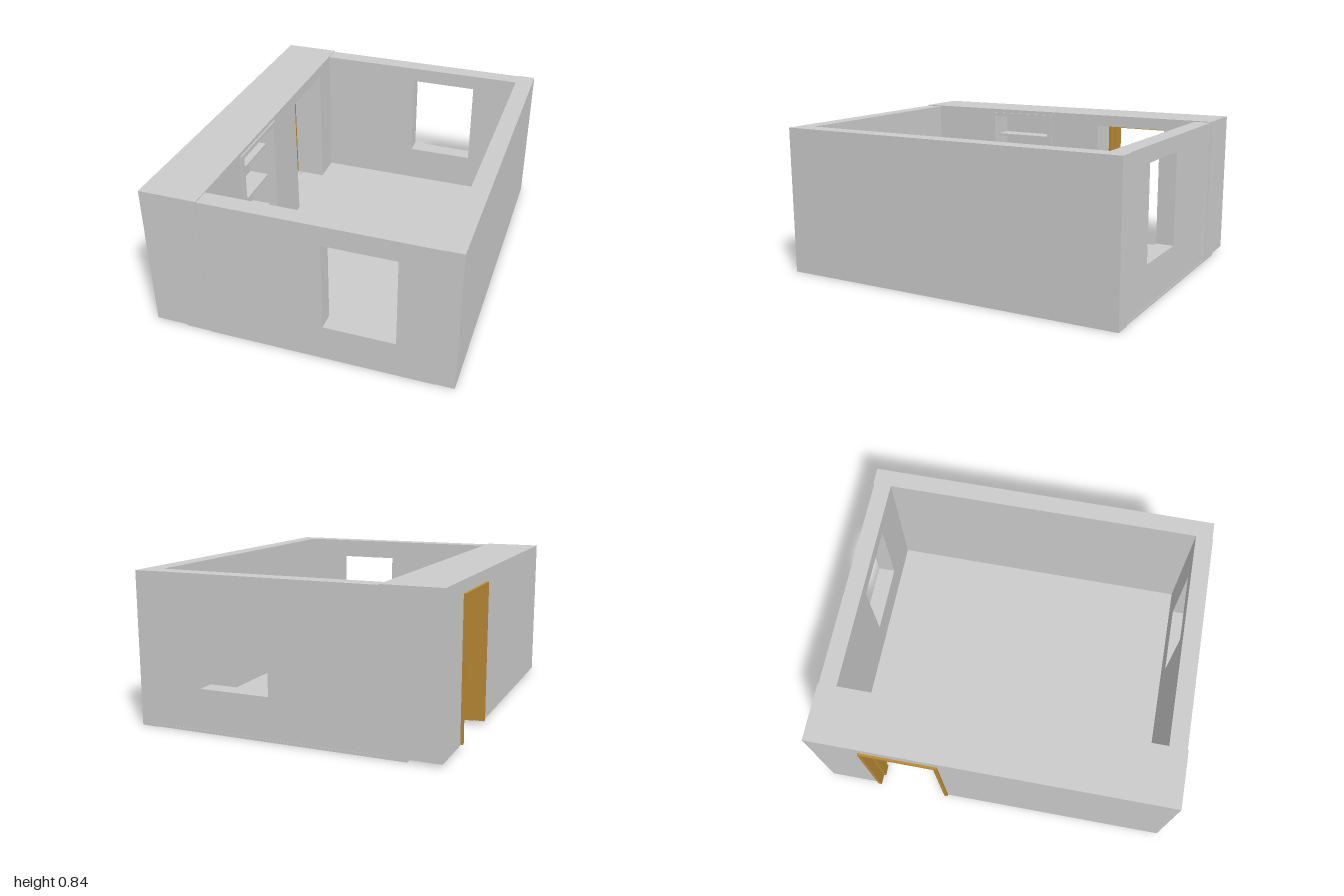
import * as THREE from 'three';

const grey = new THREE.MeshStandardMaterial({ color: 0xcccccc, flatShading: true });
const wood = new THREE.MeshStandardMaterial({ color: 0xb98a34, flatShading: true });

// Closed shape or hole from a few corners
const points = (list) => list.map(([a, b]) => new THREE.Vector2(a, b));
const rect = (a0, b0, a1, b1) => points([[a0, b0], [a1, b0], [a1, b1], [a0, b1]]);

function extrude(outline, holes, depth) {
  const shape = new THREE.Shape(outline);
  for (const h of holes) shape.holes.push(new THREE.Path(h));
  return new THREE.ExtrudeGeometry(shape, { depth, bevelEnabled: false });
}

function add(parent, name, geometry, material = grey) {
  const mesh = new THREE.Mesh(geometry, material);
  mesh.name = name;
  parent.add(mesh);
  return mesh;
}

function addBox(parent, name, x0, x1, y0, y1, z0, z1) {
  const mesh = add(parent, name, new THREE.BoxGeometry(x1 - x0, y1 - y0, z1 - z0));
  mesh.position.set((x0 + x1) / 2, (y0 + y1) / 2, (z0 + z1) / 2);
  return mesh;
}

// Wall along x, from z0 to z1
function wallX(parent, name, outline, holes, z0, z1) {
  add(parent, name, extrude(outline, holes, z1 - z0)).position.z = z0;
}

// Profile drawn in (z, y), filled from x0 to x1
function wallZ(parent, name, outline, holes, x0, x1, material = grey) {
  const g = extrude(outline, holes, x1 - x0);
  g.rotateY(-Math.PI / 2);
  add(parent, name, g, material).position.x = x1;
}

// Upside-down U of a given thickness, in (z, y)
const archway = (z0, z1, y0, y1, t) => points([
  [z0, y0], [z0 + t, y0], [z0 + t, y1 - t], [z1 - t, y1 - t],
  [z1 - t, y0], [z1, y0], [z1, y1], [z0, y1],
]);

export function createModel() {
  const room = new THREE.Group();
  room.name = 'room';
  const H = 0.832, base = 0.015;

  // Floor slab, also reaching into the doorway
  addBox(room, 'floor', -0.655, 0.84, 0, base, -0.995, 0.99);

  // Plain side wall and the two window walls
  addBox(room, 'leftWall', 0.74, 0.84, 0, H, -1, 0.99);
  wallX(room, 'frontWall', rect(-0.51, 0, 0.74, H),
    [rect(0.14, 0.21, 0.53, 0.72)], 0.895, 0.993);
  wallX(room, 'backWall', rect(-0.51, 0, 0.74, H),
    [rect(0.08, 0.235, 0.475, 0.745)], -0.993, -0.895);

  // Thick wall in two layers: doorway through both, shelf niche in the inner one
  const door = { z0: -0.71, z1: -0.28, top: 0.77 };
  const niche = { z0: 0.07, z1: 0.46, y0: 0.04, y1: 0.79, back: -0.67 };
  const outline = points([
    [-0.997, base], [door.z0, base], [door.z0, door.top], [door.z1, door.top],
    [door.z1, base], [0.997, base], [0.997, 0.837], [-0.997, 0.837],
  ]);
  wallZ(room, 'thickWallOuter', outline, [], -0.83, niche.back);
  wallZ(room, 'thickWallInner', outline,
    [rect(niche.z0, niche.y0, niche.z1, niche.y1)], niche.back, -0.51);

  // Niche surround and shelves
  wallZ(room, 'nicheFrame', rect(0.04, base, 0.49, 0.815),
    [rect(niche.z0, niche.y0, niche.z1, niche.y1)], -0.52, -0.502);
  for (const y of [0.25, 0.46, 0.67]) {
    addBox(room, 'shelf', niche.back, -0.555, y - 0.015, y, niche.z0, niche.z1);
  }

  // Wooden door frame with a stop strip round the middle
  const frame = new THREE.Group();
  frame.name = 'doorFrame';
  wallZ(frame, 'doorJamb', archway(door.z0, door.z1, 0.02, door.top, 0.02), [], -0.842, -0.69, wood);
  wallZ(frame, 'doorStop', archway(door.z0 + 0.01, door.z1 - 0.01, 0.02, door.top - 0.01, 0.023),
    [], -0.785, -0.725, wood);
  room.add(frame);

  return room;
}
